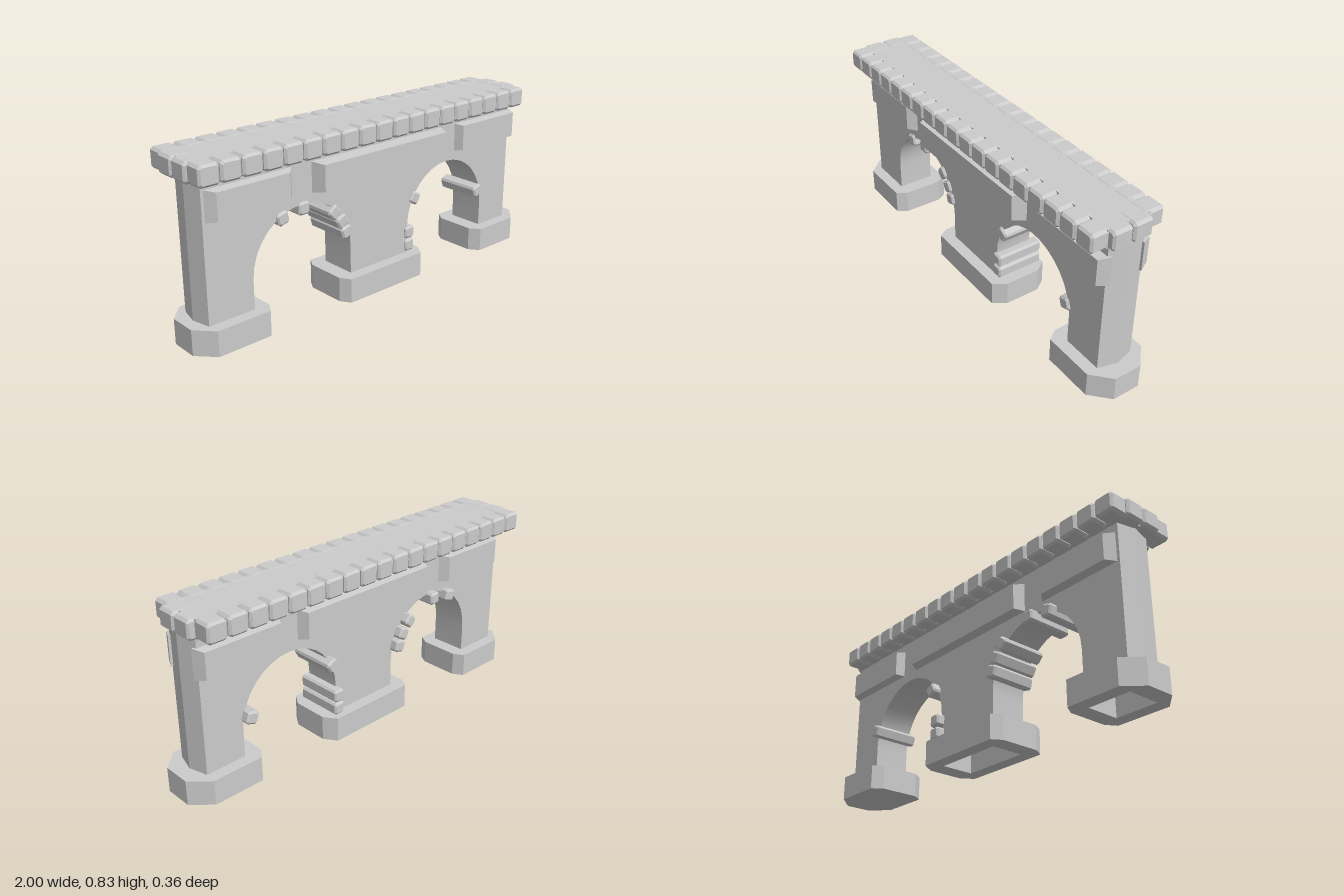
import * as THREE from 'three';
import { toCreasedNormals } from 'three/addons/utils/BufferGeometryUtils.js';

const stone = new THREE.MeshStandardMaterial({ color: 0xcccccc, flatShading: true });
const smoothStone = new THREE.MeshStandardMaterial({ color: 0xcccccc });

function add(parent, name, geometry, x = 0, y = 0, z = 0, material = stone) {
  const mesh = new THREE.Mesh(geometry, material);
  mesh.name = name;
  mesh.position.set(x, y, z);
  parent.add(mesh);
  return mesh;
}

const polygon = (pts) => new THREE.Shape(pts.map(([x, y]) => new THREE.Vector2(x, y)));

// Block with every edge chamfered by c
function chamferBlock(w, h, d, c) {
  const a = w / 2 - c, b = h / 2 - c, k = c * 0.6;
  const outline = polygon([
    [-a + k, -b], [a - k, -b], [a, -b + k], [a, b - k],
    [a - k, b], [-a + k, b], [-a, b - k], [-a, -b + k],
  ]);
  const geo = new THREE.ExtrudeGeometry(outline, {
    depth: d - 2 * c, bevelEnabled: true, bevelSegments: 1, bevelSize: c, bevelThickness: c,
  });
  return geo.translate(0, 0, -(d - 2 * c) / 2);
}

// Plan outline in (x, z), extruded upwards from y0 to y1
function upright(points, y0, y1, hole) {
  const flip = (pts) => pts.map(([x, z]) => [x, -z]);
  const shape = polygon(flip(points));
  if (hole) shape.holes.push(polygon(flip(hole)));
  const geo = new THREE.ExtrudeGeometry(shape, { depth: y1 - y0, bevelEnabled: false });
  return geo.rotateX(-Math.PI / 2).translate(0, y0, 0);
}

// Raised panel whose front face is smaller than its back
function panelGeometry(w, h, d, insetX, insetY) {
  const geo = new THREE.BoxGeometry(w, h, d);
  const p = geo.attributes.position;
  for (let i = 0; i < p.count; i++) {
    if (p.getZ(i) < 0) continue;
    p.setX(i, p.getX(i) - Math.sign(p.getX(i)) * insetX);
    p.setY(i, p.getY(i) - Math.sign(p.getY(i)) * insetY);
  }
  geo.computeVertexNormals();
  return geo;
}

// Wall pierced by two arches, with shallow pointed ends
function buildWall(group) {
  const foot = 0.11, top = 0.745, spring = 0.25, crown = 0.52;
  const outline = [[-0.93, foot]];
  for (const [x0, x1] of [[-0.705, -0.17], [0.19, 0.715]]) {
    const c = (x0 + x1) / 2, r = (x1 - x0) / 2, n = 16;
    outline.push([x0, foot]);
    for (let i = 0; i <= n; i++) {
      const t = Math.PI * (1 - i / n);
      outline.push([c + r * Math.cos(t), spring + (crown - spring) * Math.sin(t)]);
    }
    outline.push([x1, foot]);
  }
  outline.push([0.91, foot], [0.91, top], [-0.93, top]);
  const geo = new THREE.ExtrudeGeometry(polygon(outline), { depth: 0.18, bevelEnabled: false });
  add(group, 'archedWall', toCreasedNormals(geo, 0.5), 0, 0, -0.09, smoothStone);
  add(group, 'leftWallEnd', upright([[0.91, 0.09], [0.935, 0], [0.91, -0.09]], foot, top));
  add(group, 'rightWallEnd', upright([[-0.93, -0.09], [-0.95, 0], [-0.93, 0.09]], foot, top));
}

// Eight-sided pier bases; two of them are hollow underneath
function buildBases(group) {
  const bases = [
    { name: 'rightBase', x0: -1, x1: -0.635, c0: [0.075, 0.08], c1: [0.03, 0.05], hole: [-0.92, -0.715] },
    { name: 'middleBase', x0: -0.245, x1: 0.27, c0: [0.03, 0.05], c1: [0.04, 0.06], hole: [-0.16, 0.18] },
    { name: 'leftBase', x0: 0.635, x1: 1, c0: [0.035, 0.05], c1: [0.085, 0.08] },
  ];
  const z = 0.146;
  for (const { name, x0, x1, c0, c1, hole } of bases) {
    const plan = [
      [x0 + c0[0], z], [x1 - c1[0], z], [x1, z - c1[1]], [x1, -z + c1[1]],
      [x1 - c1[0], -z], [x0 + c0[0], -z], [x0, -z + c0[1]], [x0, z - c0[1]],
    ];
    const cut = hole && [[hole[0], 0.08], [hole[1], 0.08], [hole[1], -0.08], [hole[0], -0.08]];
    add(group, name, upright(plan, 0, 0.117, cut));
  }
}

// Sloped panels on both faces of the wall
function buildPanels(group) {
  for (const side of [1, -1]) {
    const face = new THREE.Group();
    face.name = side > 0 ? 'frontPanels' : 'backPanels';
    if (side < 0) face.rotation.y = Math.PI;
    for (const [x0, x1, reach, inset] of [
      [-0.925, -0.485, 0.13, 0.042],
      [-0.39, 0.41, side > 0 ? 0.15 : 0.135, 0.03],
      [0.5, 0.925, 0.13, 0.025],
    ]) {
      const d = reach - 0.08;
      add(face, 'panel', panelGeometry(x1 - x0, 0.14, d, inset, 0.009),
        side * (x0 + x1) / 2, 0.629, 0.08 + d / 2);
    }
    group.add(face);
  }
}

// Top slab edged with rounded-off blocks
function buildCornice(group) {
  const cornice = new THREE.Group();
  cornice.name = 'cornice';
  const y = 0.781, h = 0.09, count = 19, pitch = 0.1;
  add(cornice, 'slab', new THREE.BoxGeometry(1.88, h - 0.004, 0.21), -0.03, y, -0.003);
  const edge = chamferBlock(0.096, h, 0.1, 0.01);
  for (let i = 0; i < count; i++) {
    const x = -0.936 + i * pitch;
    add(cornice, 'frontEdgeBlock', edge, x, y, 0.127);
    add(cornice, 'backEdgeBlock', edge, x, y, -0.13);
  }
  const end = chamferBlock(0.1, h, 0.096, 0.01);
  for (const z of [0.05, -0.05]) {
    add(cornice, 'leftEndBlock', end, 0.895, y, z);
    add(cornice, 'rightEndBlock', end, -0.948, y, z);
  }
  group.add(cornice);
}

// Odd stones lining the arches, running through the wall
function buildArchStones(group) {
  const block = chamferBlock(0.058, 0.058, 0.232, 0.008);
  for (const [x, y, tilt] of [
    [-0.547, 0.485, 0.25], [-0.435, 0.502, 0], [-0.265, 0.438, -0.85],
    [-0.222, 0.385, -1.1], [-0.197, 0.328, -1.3], [0.235, 0.383, 1.05],
    [0.2, 0.218, 0], [0.2, 0.153, 0], [0.688, 0.31, -1.25],
  ]) {
    add(group, 'archStone', block, x, y, -0.014).rotation.z = tilt;
  }
}

export function createModel() {
  const group = new THREE.Group();
  group.name = 'archedBridge';
  buildWall(group);
  buildBases(group);
  buildPanels(group);
  buildCornice(group);
  buildArchStones(group);
  return group;
}
